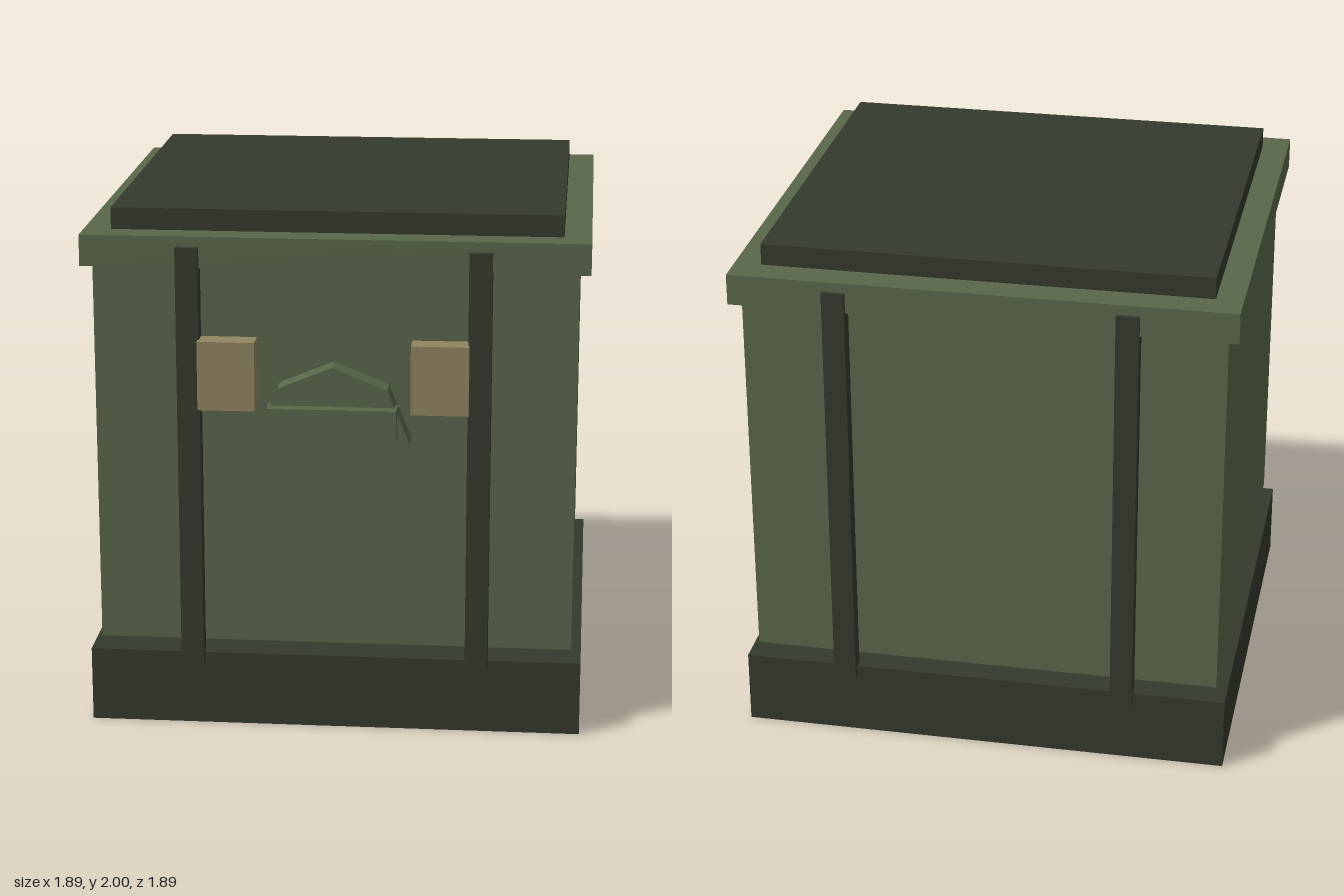
import * as THREE from 'three';

export function createModel() {
  const model = new THREE.Group();
  model.name = 'crate';

  const paint = (name, color) => {
    const m = new THREE.MeshStandardMaterial({ color, flatShading: true });
    m.name = name;
    return m;
  };
  const green = paint('olive green', 0x5a674b);
  const dark = paint('dark olive', 0x353a2d);
  const tan = paint('tan', 0x928662);

  const add = (name, geometry, material, x, y, z) => {
    const mesh = new THREE.Mesh(geometry, material);
    mesh.name = name;
    mesh.position.set(x, y, z);
    model.add(mesh);
    return mesh;
  };

  // Box given by its extents along each axis
  const box = (name, material, [x0, x1], [y0, y1], [z0, z1]) =>
    add(name, new THREE.BoxGeometry(x1 - x0, y1 - y0, z1 - z0), material,
      (x0 + x1) / 2, (y0 + y1) / 2, (z0 + z1) / 2);

  // Base, body and stepped lid
  box('base', dark, [-0.94, 0.94], [0, 0.288], [-0.922, 0.835]);
  box('body', green, [-0.903, 0.903], [0.33, 1.82], [-0.885, 0.8]);
  box('lid', green, [-0.945, 0.945], [1.8, 1.918], [-0.93, 0.838]);
  box('lidPanel', dark, [-0.843, 0.843], [1.91, 2], [-0.815, 0.727]);

  // Hexagonal spacers between base and body
  for (const x of [-0.724, 0.724])
    for (const z of [-0.69, 0.61])
      add('spacer', new THREE.CylinderGeometry(0.075, 0.075, 0.06, 6), tan, x, 0.31, z);

  // Straps front and back, with a latch beside each front strap
  for (const side of [-1, 1]) {
    const span = (a, b) => (side > 0 ? [a, b] : [-b, -a]);
    box('frontStrap', dark, span(0.5, 0.586), [0.245, 1.88], [0.798, 0.86]);
    box('backStrap', dark, span(0.5, 0.586), [0.245, 1.88], [-0.945, -0.883]);
    box('latch', tan, span(0.29, 0.505), [1.27, 1.533], [0.79, 0.889]);
  }

  // Octagonal plate carrying the handle bar
  const plate = add('handlePlate', new THREE.CylinderGeometry(0.289, 0.289, 0.105, 8), green, 0, 1.158, 0.8435);
  plate.rotation.x = Math.PI / 2;
  box('handle', green, [-0.241, 0.241], [1.18, 1.298], [0.85, 0.945]);

  return model;
}
